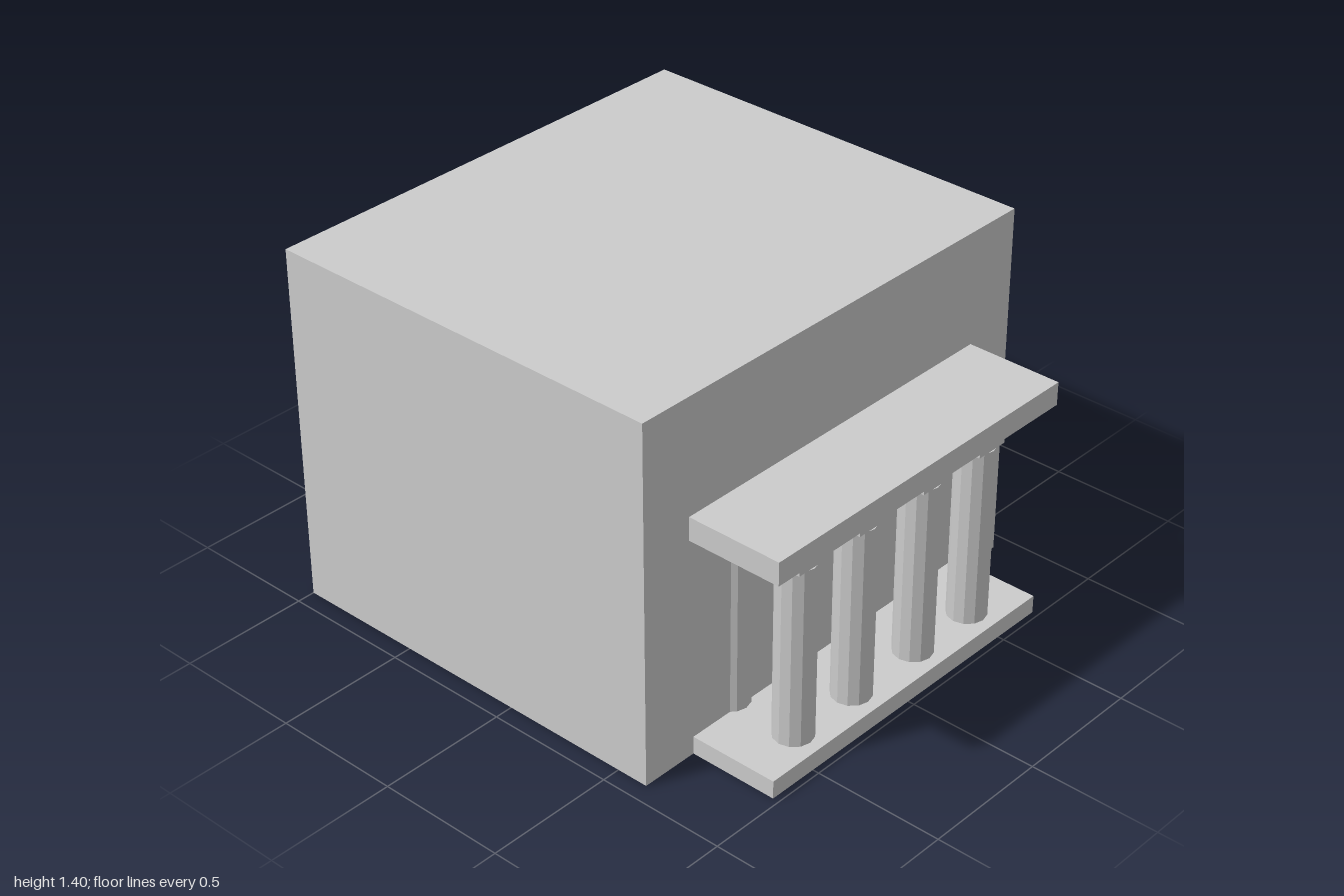
import * as THREE from 'three';

const WALL_X = 0.625;

export function createModel() {
  const model = new THREE.Group();
  const material = new THREE.MeshStandardMaterial({ color: 0xcccccc, flatShading: true });

  const add = (name, geometry, x, y, z, parent = model) => {
    const mesh = new THREE.Mesh(geometry, material);
    mesh.name = name;
    mesh.position.set(x, y, z);
    parent.add(mesh);
    return mesh;
  };

  // Box given by its x and y limits, centred on z = 0
  const slab = (name, x0, x1, y0, y1, depth) =>
    add(name, new THREE.BoxGeometry(x1 - x0, y1 - y0, depth), (x0 + x1) / 2, (y0 + y1) / 2, 0);

  // Main block and the porch slabs against its left wall
  slab('building', -1, WALL_X, 0, 1.4, 1.86);
  slab('porchFloor', WALL_X, 0.975, 0, 0.07, 1.4);
  slab('porchRoof', WALL_X, 1, 0.865, 0.955, 1.44);

  // Outer row of free columns, inner row half sunk into the wall
  const shaft = new THREE.CylinderGeometry(0.074, 0.074, 0.7, 12);
  const capital = new THREE.BoxGeometry(0.136, 0.095, 0.136);
  const rows = [['column', 0.858], ['wallColumn', 0.577]];
  for (const [name, x] of rows) {
    for (const z of [-0.465, -0.165, 0.165, 0.465]) {
      const column = new THREE.Group();
      column.name = name;
      column.position.set(x, 0.07, z);
      add('shaft', shaft, 0, 0.35, 0, column);
      add('capital', capital, 0, 0.7475, 0, column);
      model.add(column);
    }
  }
  return model;
}
